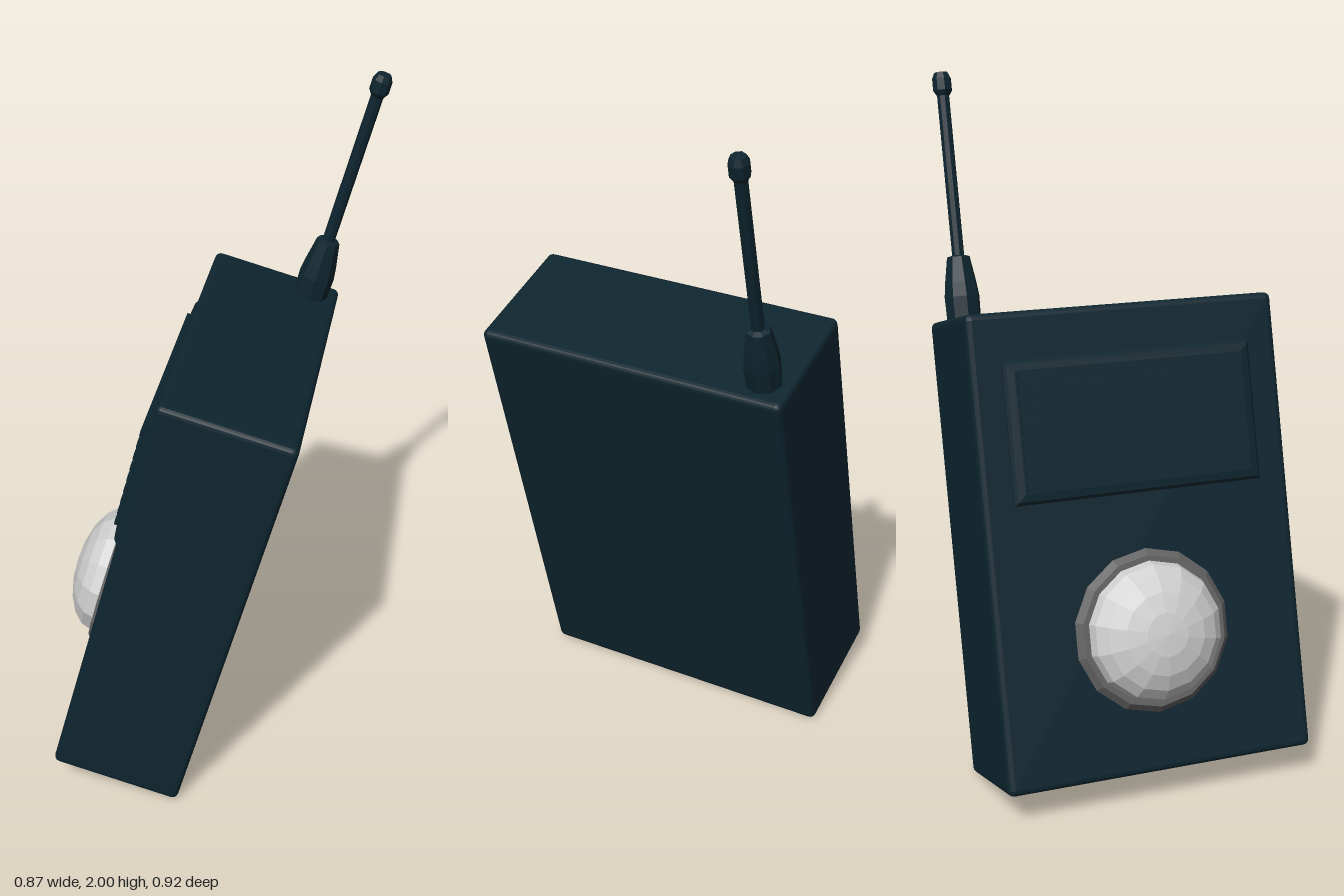
import * as THREE from 'three';
import { RoundedBoxGeometry } from 'three/addons/geometries/RoundedBoxGeometry.js';

export function createModel() {
  const model = new THREE.Group();
  model.name = 'handheldRadio';

  const mat = (name, color, flatShading = true) => {
    const m = new THREE.MeshStandardMaterial({ color, flatShading });
    m.name = name;
    return m;
  };
  const casing = mat('dark teal casing', 0x0e252f);
  const rimGrey = mat('rim grey', 0x636363);
  const domeGrey = mat('dome light grey', 0xcfcfcf);

  // Everything sits in a frame that leans towards +x
  const radio = new THREE.Group();
  radio.name = 'radio';
  radio.position.set(-0.05, 0.689, 0);
  radio.rotation.z = -THREE.MathUtils.degToRad(14.8);
  model.add(radio);

  const add = (name, geometry, material, x = 0, y = 0, z = 0) => {
    const mesh = new THREE.Mesh(geometry, material);
    mesh.name = name;
    mesh.position.set(x, y, z);
    radio.add(mesh);
    return mesh;
  };

  const W = 0.387, H = 1.328, D = 0.92, face = -W / 2;

  // Casing
  add('casing', new RoundedBoxGeometry(W, H, D, 2, 0.018), casing);

  // Speaker panel with bevelled edges on the -x face
  const hw = 0.34, hh = 0.17, speakerY = 0.33;
  const outline = new THREE.Shape([
    new THREE.Vector2(-hw, -hh), new THREE.Vector2(hw, -hh),
    new THREE.Vector2(hw, hh), new THREE.Vector2(-hw, hh),
  ]);
  const panel = new THREE.ExtrudeGeometry(outline, {
    depth: 0.006, bevelEnabled: true, bevelThickness: 0.012, bevelSize: 0.03, bevelSegments: 2,
  });
  panel.rotateY(-Math.PI / 2);
  add('speakerPanel', panel, casing, face, speakerY);

  // Speaker slats
  const slats = 9;
  for (let i = 0; i < slats; i++) {
    const y = speakerY + (i / (slats - 1) - 0.5) * 0.31;
    add('speakerSlat' + (i + 1), new THREE.BoxGeometry(0.014, 0.02, 0.67), casing, face - 0.021, y);
  }

  // Round button: chamfered rim and shallow dome
  const buttonY = -0.262;
  const rim = new THREE.CylinderGeometry(0.215, 0.235, 0.022, 14);
  rim.rotateY(Math.PI / 2);
  rim.rotateZ(Math.PI / 2);
  add('buttonRim', rim, rimGrey, face - 0.009, buttonY);

  const dome = new THREE.SphereGeometry(1, 14, 5, 0, Math.PI * 2, 0, Math.PI / 2);
  dome.scale(0.2, 0.106, 0.2);
  dome.rotateZ(Math.PI / 2);
  add('buttonDome', dome, domeGrey, face - 0.017, buttonY);

  // Antenna: swollen foot, thin rod and knob in one turned profile
  const profile = [
    [0, 0.64], [0.05, 0.64], [0.052, 0.73], [0.047, 0.77], [0.034, 0.845], [0.018, 0.85],
    [0.018, 1.31], [0.028, 1.325], [0.028, 1.36], [0.02, 1.377], [0, 1.38],
  ].map(([r, y]) => new THREE.Vector2(r, y));
  add('antenna', new THREE.LatheGeometry(profile, 8), casing, 0.111, 0, -0.378);

  return model;
}
